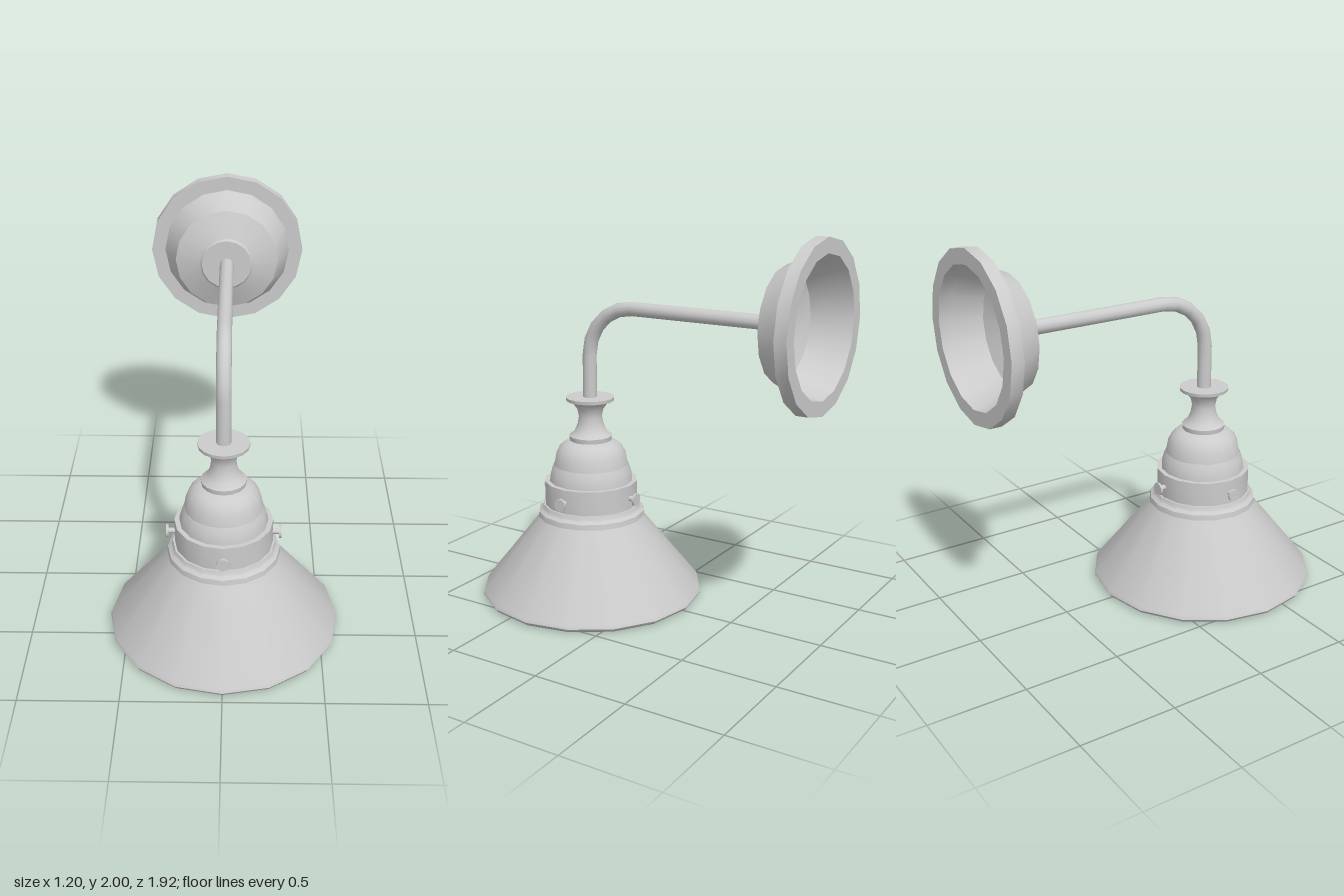
import * as THREE from 'three';
import { toCreasedNormals } from 'three/addons/utils/BufferGeometryUtils.js';

const SIDES = 16;
const LAMP_Z = 0.365; // vertical axis of the shade
const ARM_Y = 1.58; // height of the wall plate axis

const material = new THREE.MeshStandardMaterial({ color: 0xcccccc, side: THREE.DoubleSide });

function mesh(name, geometry, parent) {
  const m = new THREE.Mesh(geometry, material);
  m.name = name;
  parent.add(m);
  return m;
}

// Turned part from [radius, height] pairs, sharp at strong bends
function turned(name, profile, parent, crease = 0.7) {
  const points = profile.map(([r, y]) => new THREE.Vector2(r, y));
  return mesh(name, toCreasedNormals(new THREE.LatheGeometry(points, SIDES), crease), parent);
}

export function createModel() {
  const model = new THREE.Group();
  model.name = 'wallLamp';

  // Wall mount, turned about the z axis
  const mount = new THREE.Group();
  mount.name = 'wallMount';
  mount.rotation.x = Math.PI / 2;
  mount.position.y = ARM_Y;
  model.add(mount);
  turned('wallPlate', [
    [0.345, -0.96], [0.42, -0.96], [0.42, -0.897], [0.345, -0.897], [0.28, -0.75], [0.14, -0.695],
    [0.13, -0.71], [0.27, -0.763], [0.332, -0.9], [0.345, -0.96],
  ], mount);
  turned('armWasher', [
    [0.035, -0.73], [0.145, -0.73], [0.145, -0.69], [0.135, -0.68], [0.035, -0.68],
  ], mount);

  // Bent arm: straight run, quarter bend, drop
  const bend = 0.265;
  const path = new THREE.CurvePath();
  const v = (y, z) => new THREE.Vector3(0, y, z);
  const stops = [v(ARM_Y, -0.735)];
  for (let i = 0; i <= 5; i++) {
    const a = (i / 5) * Math.PI / 2;
    stops.push(v(ARM_Y - bend + bend * Math.cos(a), LAMP_Z - bend + bend * Math.sin(a)));
  }
  stops.push(v(1.07, LAMP_Z));
  // Rings placed at the bends only, mitred between neighbouring segments
  const ringSides = 12, radius = 0.037, position = [], index = [];
  stops.forEach((p, i) => {
    const a = i === 0 ? 0 : i === stops.length - 1 ? Math.PI / 2 : ((i - 1) / 5) * Math.PI / 2;
    for (let j = 0; j < ringSides; j++) {
      const t = (j / ringSides) * Math.PI * 2;
      const out = radius * Math.cos(t);
      position.push(radius * Math.sin(t), p.y + out * Math.cos(a), p.z + out * Math.sin(a));
      if (i === 0) continue;
      const k = (j + 1) % ringSides, b = i * ringSides, c = b - ringSides;
      index.push(c + j, b + j, c + k, c + k, b + j, b + k);
    }
  });
  const armGeometry = new THREE.BufferGeometry();
  armGeometry.setAttribute('position', new THREE.Float32BufferAttribute(position, 3));
  armGeometry.setIndex(index);
  armGeometry.computeVertexNormals();
  mesh('arm', armGeometry, model);

  // Hanging lamp, turned about the y axis
  const lamp = new THREE.Group();
  lamp.name = 'lamp';
  lamp.position.z = LAMP_Z;
  model.add(lamp);

  turned('neck', [
    [0, 0.855], [0.112, 0.855], [0.115, 0.88], [0.088, 0.9], [0.07, 0.94], [0.062, 0.985],
    [0.07, 1.025], [0.095, 1.06], [0.128, 1.072], [0.13, 1.09], [0, 1.09],
  ], lamp);
  turned('cap', [
    [0.2, 0.72], [0.19, 0.775], [0.17, 0.815], [0.145, 0.838], [0.11, 0.855], [0, 0.858],
  ], lamp);
  turned('capSkirt', [
    [0.225, 0.632], [0.222, 0.66], [0.212, 0.695], [0.2, 0.722], [0.185, 0.722],
  ], lamp);
  turned('collar', [
    [0.235, 0.505], [0.25, 0.505], [0.25, 0.635], [0.21, 0.635],
  ], lamp);
  turned('shadeGallery', [
    [0.265, 0.44], [0.29, 0.44], [0.286, 0.468], [0.267, 0.482], [0.26, 0.505], [0.235, 0.505],
  ], lamp);

  // Conical shade with a rolled lower edge and an inner wall
  turned('shade', [
    [0.235, 0.5], [0.25, 0.44], [0.57, 0.035], [0.568, 0.012], [0.58, 0], [0.592, 0.008],
    [0.6, 0.022], [0.593, 0.04], [0.275, 0.44], [0.245, 0.5],
  ], lamp);

  // Bulb: round globe running up into a narrow stem
  const bulb = [];
  for (let i = 0; i <= 10; i++) {
    const a = (i / 10) * 2.4;
    bulb.push([0.175 * Math.sin(a), 0.265 - 0.175 * Math.cos(a)]);
  }
  bulb.push([0.085, 0.46], [0.08, 0.6], [0, 0.6]);
  turned('bulb', bulb, lamp);

  // Four thumbscrews around the collar
  for (let i = 0; i < 4; i++) {
    const screw = new THREE.Group();
    screw.name = 'thumbscrew';
    screw.rotation.y = (i * Math.PI) / 2;
    lamp.add(screw);
    const add = (name, r, from, to) => {
      const g = new THREE.CylinderGeometry(r, r, to - from, 12);
      g.rotateX(Math.PI / 2).translate(0, 0.565, (from + to) / 2);
      mesh(name, g, screw);
    };
    add('screwShaft', 0.014, 0.235, 0.283);
    add('screwHead', 0.034, 0.28, 0.292);
  }
  return model;
}
